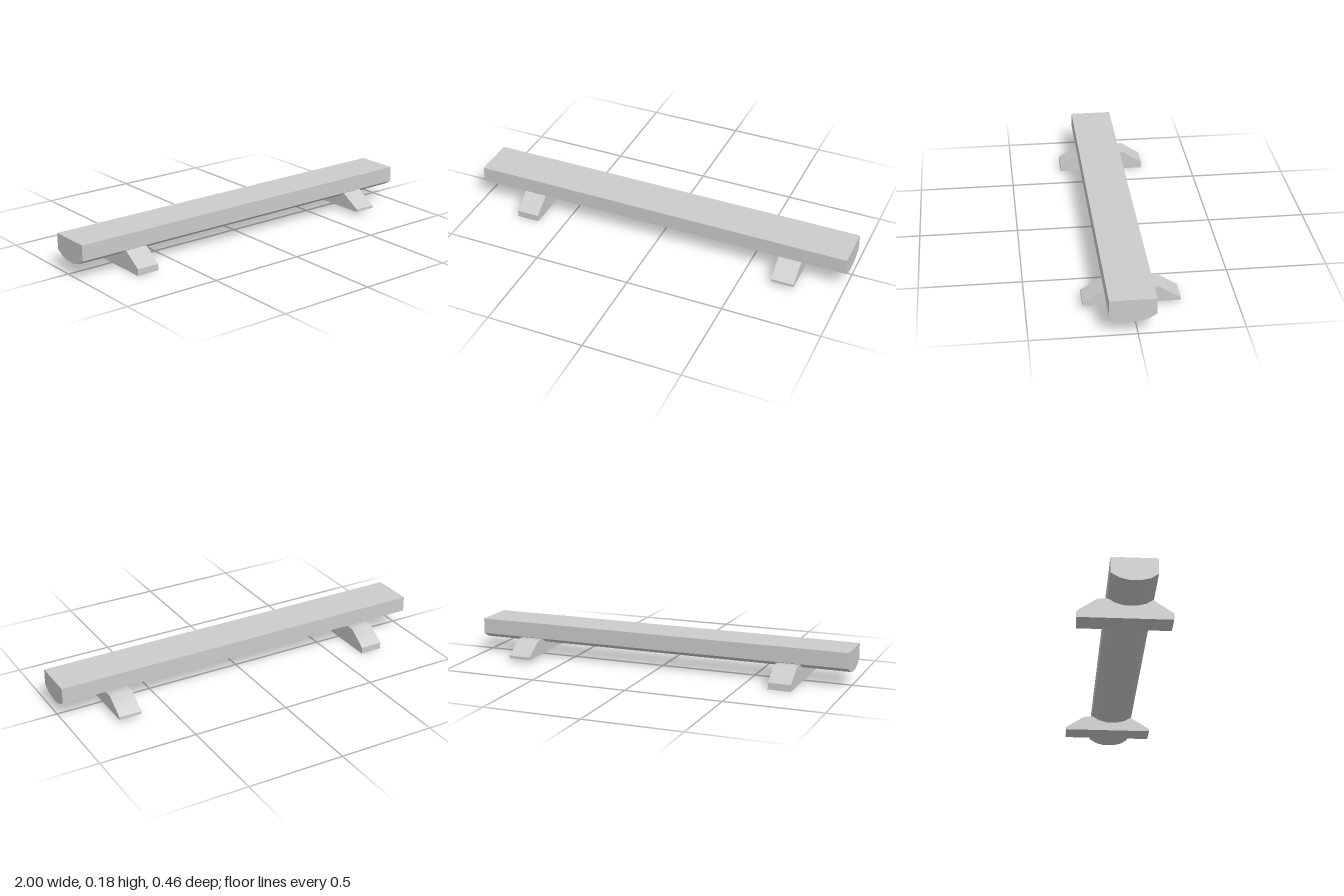
import * as THREE from 'three';
import { toCreasedNormals } from 'three/addons/utils/BufferGeometryUtils.js';

// Rounded underside of the split log as [z, y], front to back
const belly = [
  [0.133, 0.103], [0.097, 0.079], [0.052, 0.068],
  [-0.006, 0.068], [-0.046, 0.079], [-0.086, 0.103],
];

// Extrude a [z, y] outline along x between x0 and x1
function prism(name, outline, x0, x1) {
  const shape = new THREE.Shape(outline.map(([z, y]) => new THREE.Vector2(-z, y)));
  const geometry = new THREE.ExtrudeGeometry(shape, { depth: x1 - x0, bevelEnabled: false });
  geometry.rotateY(Math.PI / 2).translate(x0, 0, 0);
  const material = new THREE.MeshStandardMaterial({ color: 0xcccccc });
  const mesh = new THREE.Mesh(toCreasedNormals(geometry, 0.7), material);
  mesh.name = name;
  return mesh;
}

// Sloped foot with a cradle that follows the log's underside
function support(name, x0, x1, base, front, back) {
  const shoulder = 0.1;
  const cradle = belly.slice(1, -1);
  return prism(name, [
    [front, base], [front, 0.034], [0.128, shoulder],
    ...cradle,
    [-0.081, shoulder], [-0.129, shoulder], [back, 0.034], [back, base],
  ], x0, x1);
}

export function createModel() {
  const bench = new THREE.Group();
  bench.name = 'logBench';

  // Seat: half log with a flat top
  bench.add(prism('seat', [[0.133, 0.183], ...belly, [-0.086, 0.183]], -1, 1));

  // Supports: the right one reaches a little lower
  bench.add(support('rightSupport', -0.755, -0.638, 0, 0.226, -0.226));
  bench.add(support('leftSupport', 0.655, 0.772, 0.02, 0.233, -0.231));

  return bench;
}
